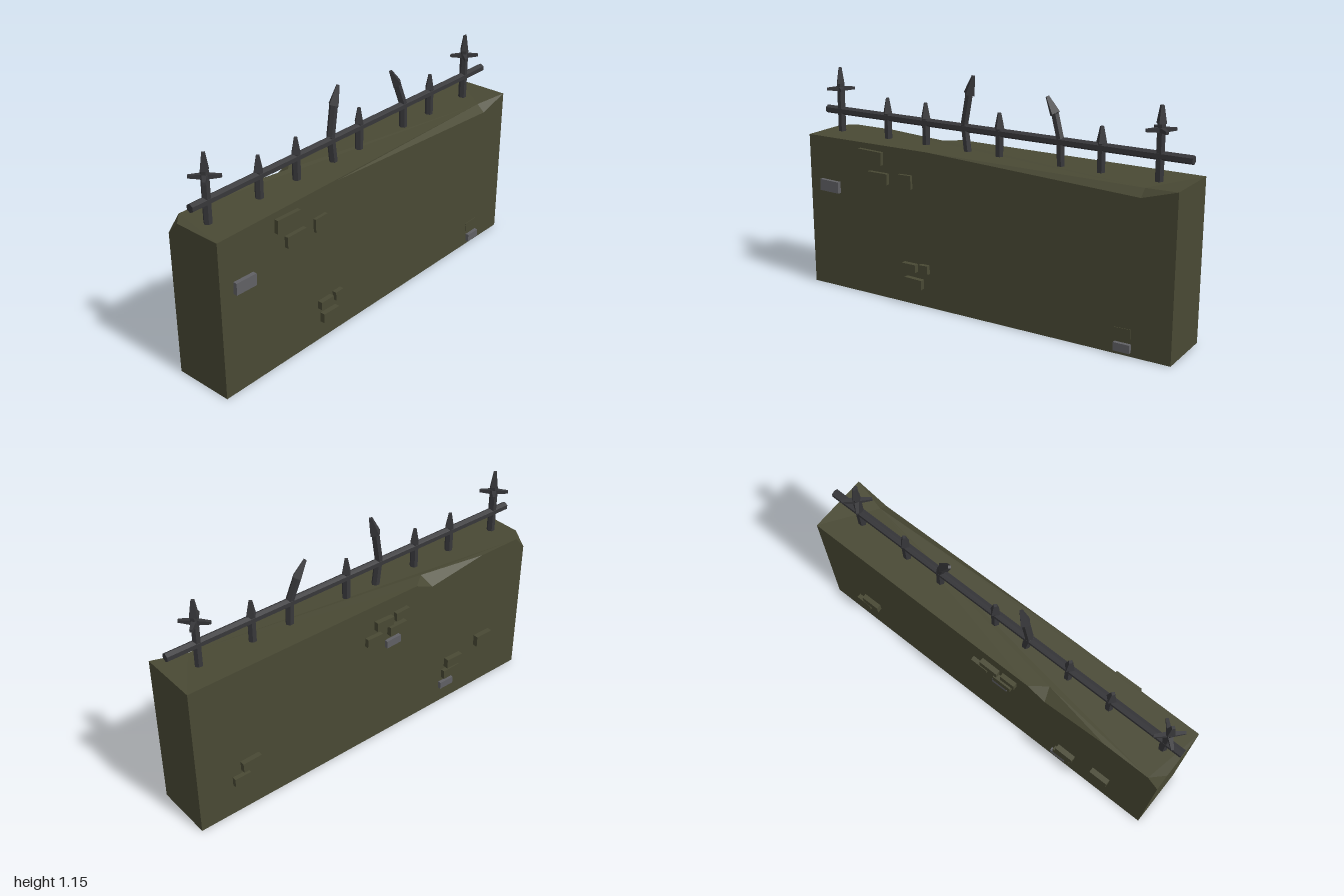
import * as THREE from 'three';

const stone = new THREE.MeshStandardMaterial({ color: 0x494934, flatShading: true, side: THREE.DoubleSide });
stone.name = 'mossy stone';
const grey = new THREE.MeshStandardMaterial({ color: 0x606064, flatShading: true });
grey.name = 'grey stone';
const iron = new THREE.MeshStandardMaterial({ color: 0x37373a, flatShading: true });
iron.name = 'dark iron';

const v = (x, y, z) => new THREE.Vector3(x, y, z);

function addMesh(parent, name, geometry, material) {
  const mesh = new THREE.Mesh(geometry, material);
  mesh.name = name;
  parent.add(mesh);
  return mesh;
}

// Hollow wall shell, open underneath, with chipped top edges
function wallGeometry() {
  const H = 0.785, W = 0.15;
  const pos = [];
  // polygon: 3D corners counter-clockwise from outside; u, w pick the flat axes to triangulate in
  const face = (pts, u, w) => {
    const flat = pts.map(p => new THREE.Vector2(p[u], p[w]));
    const flip = THREE.ShapeUtils.area(flat) < 0;
    const order = flip ? [...pts].reverse() : pts;
    const tris = THREE.ShapeUtils.triangulateShape(order.map(p => new THREE.Vector2(p[u], p[w])), []);
    for (const t of tris) {
      for (const i of flip ? [t[0], t[2], t[1]] : t) pos.push(...order[i].toArray());
    }
  };
  const tri = (a, b, c) => pos.push(...a.toArray(), ...b.toArray(), ...c.toArray());

  const backL = v(W, H, -1), backR = v(-W, H, -1), frontL = v(W, H, 1);
  // long chip on the +x edge
  const longEnd = v(W, H, 0.28), longIn = v(0.11, 0.77, -0.83), longLow = v(W, 0.735, -0.83);
  // notch on the -x edge
  const nA = v(-W, H, 0.27), nIn = v(-0.09, H, 0.35), nLow = v(-W, 0.74, 0.37), nB = v(-W, H, 0.7);
  // broken front corner
  const cSide = v(-W, H, 0.94), cFront = v(-0.09, H, 1), cLow = v(-W, 0.72, 1);
  const b = [v(-W, 0, -1), v(W, 0, -1), v(W, 0, 1), v(-W, 0, 1)];

  face([backR, nA, nIn, nB, cSide, cFront, frontL, longEnd, longIn], 'x', 'z');
  tri(backR, longIn, backL);
  tri(backL, longIn, longLow);
  tri(longLow, longIn, longEnd);
  tri(nA, nLow, nIn);
  tri(nLow, nB, nIn);
  tri(cSide, cLow, cFront);
  face([b[3], b[2], frontL, cFront, cLow], 'x', 'y');
  face([b[1], b[0], backR, backL], 'x', 'y');
  face([b[2], b[1], backL, longLow, longEnd, frontL], 'z', 'y');
  face([b[0], b[3], cLow, cSide, nB, nLow, nA, backR], 'z', 'y');

  const g = new THREE.BufferGeometry();
  g.setAttribute('position', new THREE.Float32BufferAttribute(pos, 3));
  g.computeVertexNormals();
  return g;
}

// Tapered bar between two points
function bar(parent, name, a, b, r0, r1, sides) {
  const mesh = addMesh(parent, name, new THREE.CylinderGeometry(r1, r0, a.distanceTo(b), sides), iron);
  mesh.position.copy(a).add(b).multiplyScalar(0.5);
  mesh.quaternion.setFromUnitVectors(v(0, 1, 0), b.clone().sub(a).normalize());
  return mesh;
}

// Post following a few points; the last stretch is the spear tip
function post(parent, name, pts, tipBase) {
  const g = new THREE.Group();
  g.name = name;
  const n = pts.length;
  for (let i = 0; i < n - 2; i++) bar(g, 'shaft', pts[i], pts[i + 1], 0.02, 0.02, 6);
  bar(g, 'spearTip', pts[n - 2], pts[n - 1], tipBase, 0.01, 4);
  parent.add(g);
  return g;
}

export function createModel() {
  const model = new THREE.Group();
  model.name = 'fencedWall';
  addMesh(model, 'wall', wallGeometry(), stone);

  // Loose stones: [z, y, length, height, outer face x, grey?]
  const leftStones = [
    [0.607, 0.722, 0.14, 0.065, 0.17], [0.562, 0.622, 0.115, 0.055, 0.17],
    [0.402, 0.625, 0.075, 0.068, 0.165], [0.868, 0.535, 0.115, 0.058, 0.17, 1],
    [0.38, 0.195, 0.08, 0.04, 0.175], [0.295, 0.198, 0.05, 0.045, 0.172],
    [0.355, 0.118, 0.1, 0.048, 0.175], [-0.77, 0.04, 0.08, 0.04, 0.168, 1],
    [-0.765, 0.105, 0.085, 0.045, 0.153],
  ];
  const rightStones = [
    [-0.72, 0.262, 0.1, 0.05, 0.175], [-0.775, 0.195, 0.085, 0.045, 0.172],
    [0.06, 0.675, 0.1, 0.045, 0.175], [0.17, 0.68, 0.08, 0.045, 0.172],
    [0.14, 0.615, 0.1, 0.048, 0.177], [0, 0.605, 0.09, 0.045, 0.172],
    [0.12, 0.543, 0.085, 0.04, 0.167, 1], [0.735, 0.28, 0.1, 0.06, 0.177],
    [0.53, 0.235, 0.1, 0.05, 0.177], [0.515, 0.173, 0.1, 0.05, 0.172],
    [0.49, 0.108, 0.085, 0.038, 0.167, 1],
  ];
  for (const [side, list] of [[1, leftStones], [-1, rightStones]]) {
    list.forEach(([z, y, len, h, outer, isGrey], i) => {
      const s = addMesh(model, 'looseStone', new THREE.BoxGeometry(0.05, h, len), isGrey ? grey : stone);
      s.position.set(side * (outer - 0.025), y, z);
      s.rotation.x = (i % 3 - 1) * 0.03;
    });
  }

  // Iron fence
  const fence = new THREE.Group();
  fence.name = 'fence';
  model.add(fence);
  bar(fence, 'rail', v(0, 0.89, -1), v(0, 0.89, 1), 0.021, 0.021, 6);

  for (const z of [0.615, 0.385, -0.035, -0.565]) {
    post(fence, 'shortPost', [v(0, 0.77, z), v(0, 0.91, z), v(0, 0.985, z)], 0.027);
  }
  for (const z of [0.91, -0.845]) {
    const p = post(fence, 'tallPost', [v(0, 0.77, z), v(0, 1.03, z), v(0, 1.11, z)], 0.025);
    // four diagonal arms
    for (let k = 0; k < 4; k++) {
      const a = Math.PI / 4 + k * Math.PI / 2;
      bar(p, 'crossArm', v(0, 1.003, z), v(Math.cos(a) * 0.07, 1.003, z + Math.sin(a) * 0.07), 0.017, 0.009, 4);
    }
  }
  post(fence, 'bentPost', [v(0, 0.77, 0.142), v(0, 0.91, 0.16), v(-0.003, 1.055, 0.135), v(0, 1.143, 0.108)], 0.03);
  post(fence, 'bentPost', [v(0, 0.77, -0.362), v(0, 0.9, -0.357), v(-0.012, 1.01, -0.322), v(-0.016, 1.085, -0.278)], 0.028);

  return model;
}
